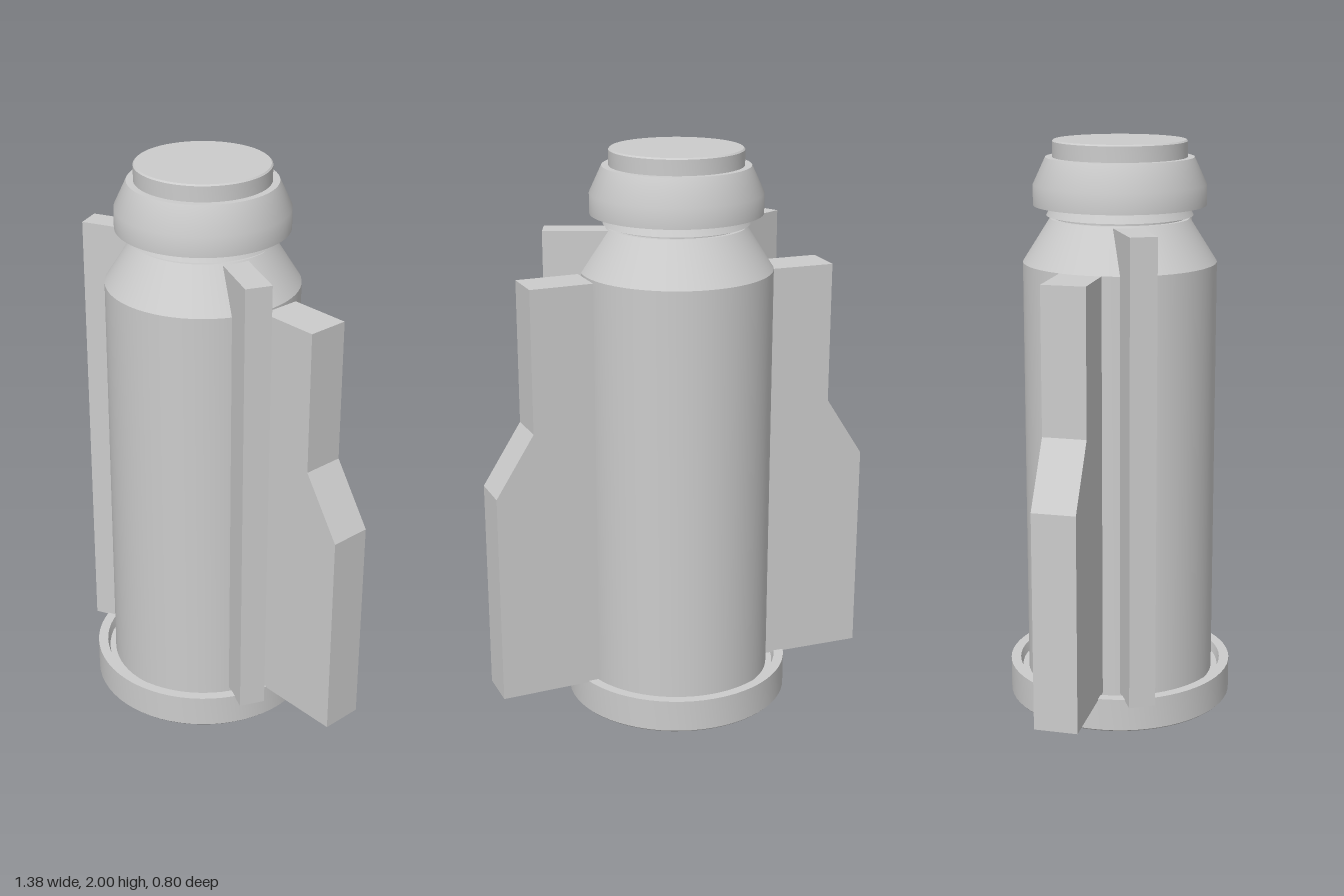
import * as THREE from 'three';
import { toCreasedNormals } from 'three/addons/utils/BufferGeometryUtils.js';

const material = new THREE.MeshStandardMaterial({ color: 0xcccccc });
const AXIS_X = -0.02; // the round body sits slightly off centre

export function createModel() {
  const model = new THREE.Group();
  model.name = 'finnedCanister';

  const add = (name, geometry) => {
    const mesh = new THREE.Mesh(toCreasedNormals(geometry, 0.45), material);
    mesh.name = name;
    model.add(mesh);
    return mesh;
  };

  // Turned parts: [radius, height] profiles from bottom to top
  const turned = (name, profile) => {
    const points = profile.map(([r, y]) => new THREE.Vector2(r, y));
    add(name, new THREE.LatheGeometry(points, 64)).position.x = AXIS_X;
  };

  // Base with a shallow groove around the body
  turned('base', [[0, 0], [0.395, 0], [0.4, 0.005], [0.4, 0.12], [0.365, 0.12], [0.357, 0.09], [0, 0.09]]);
  turned('body', [[0, 0.08], [0.335, 0.08], [0.335, 1.585], [0.24, 1.735], [0, 1.735]]);
  turned('neckRing', [[0.225, 1.73], [0.225, 1.745], [0.253, 1.745], [0.235, 1.78], [0, 1.785]]);
  turned('collar', [[0, 1.78], [0.298, 1.78], [0.298, 1.85], [0.255, 1.942], [0, 1.942]]);
  turned('cap', [[0, 1.935], [0.231, 1.935], [0.231, 1.995], [0.226, 2], [0, 2]]);

  // Upright fin: profile in (outward, up), outer edge at outward = 0
  const fin = (name, profile, thickness, x, z, angle) => {
    const shape = new THREE.Shape(profile.map(([u, y]) => new THREE.Vector2(u, y)));
    const geometry = new THREE.ExtrudeGeometry(shape, { depth: thickness, bevelEnabled: false });
    geometry.translate(0, 0, -thickness / 2);
    const mesh = add(name, geometry);
    mesh.position.set(x, 0, z);
    mesh.rotation.y = angle;
  };

  // Stepped side fins
  const sideProfile = [[-0.36, 0.115], [0, 0.115], [0, 0.87], [-0.138, 1.085], [-0.138, 1.585], [-0.36, 1.585]];
  fin('leftSideFin', sideProfile, 0.148, 0.682, -0.067, 0.056);
  fin('rightSideFin', sideProfile, 0.15, -0.689, -0.055, Math.PI);

  // Slim front fins running up past the shoulder
  const frontProfile = [[-0.25, 0.115], [0, 0.115], [0, 1.73], [-0.25, 1.73]];
  fin('leftFrontFin', frontProfile, 0.092, 0.418, 0.126, -0.35);
  fin('rightFrontFin', frontProfile, 0.092, -0.434, 0.18, Math.PI + 0.49);

  return model;
}
